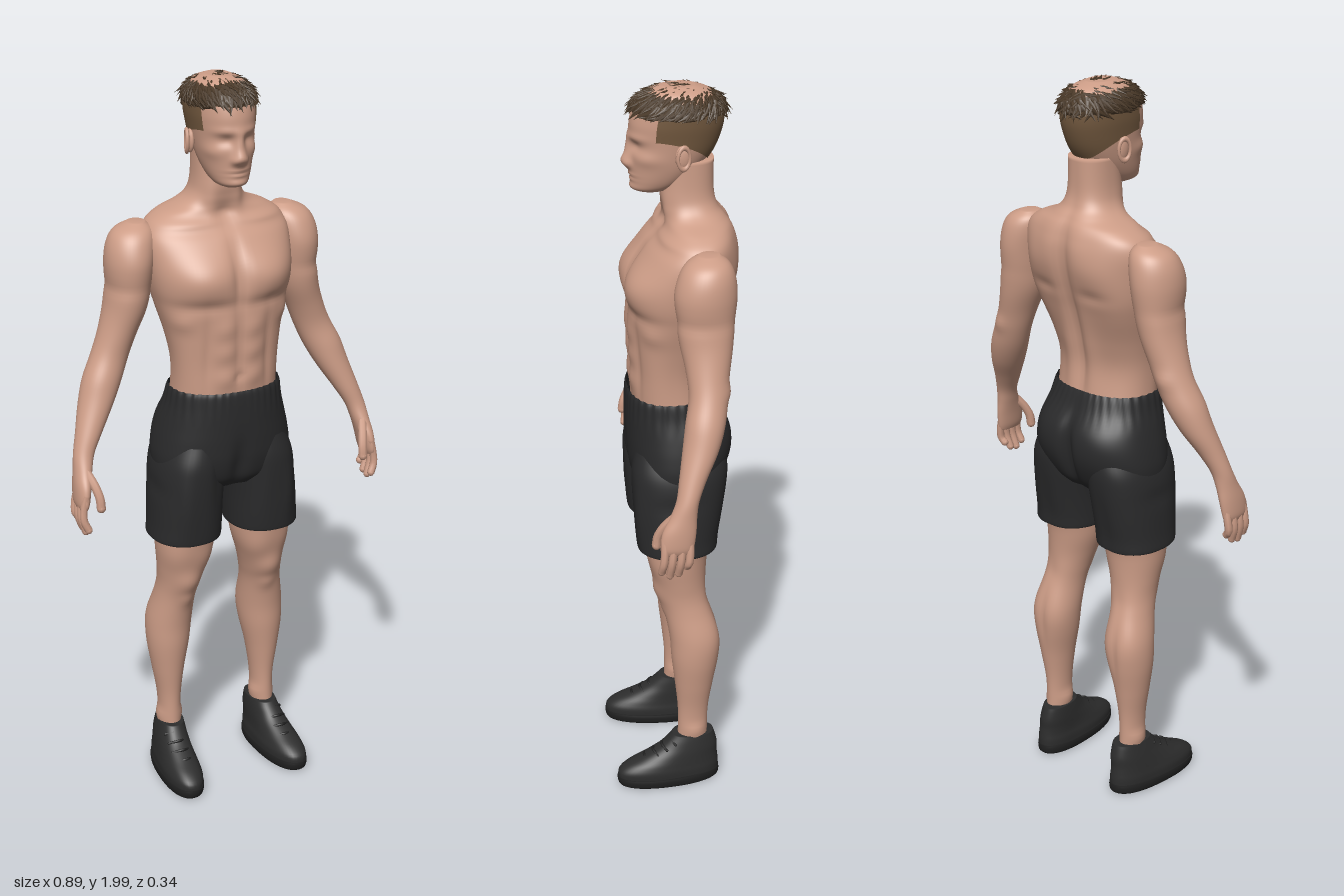
import * as THREE from 'three';
import { mergeGeometries } from 'three/addons/utils/BufferGeometryUtils.js';

const paint = (name, color, side = THREE.FrontSide) => {
  const m = new THREE.MeshStandardMaterial({ color, side });
  m.name = name;
  return m;
};

// Surface from fn(u, v) -> [x, y, z]; wrap joins the first and last columns
function grid(nu, nv, fn, wrap = true) {
  const cols = wrap ? nu : nu + 1, pos = [], idx = [];
  for (let j = 0; j <= nv; j++) for (let i = 0; i < cols; i++) pos.push(...fn(i / nu, j / nv));
  for (let j = 0; j < nv; j++) for (let i = 0; i < nu; i++) {
    const a = j * cols + i, b = j * cols + (i + 1) % cols, c = a + cols, d = b + cols;
    idx.push(a, b, d, a, d, c);
  }
  const g = new THREE.BufferGeometry();
  g.setAttribute('position', new THREE.Float32BufferAttribute(pos, 3));
  g.setIndex(idx);
  g.computeVertexNormals();
  return g;
}

// Smooth interpolation of rows [y, centreX, centreZ, radiusX, radiusZ] at t in 0..1
function sample(rows, t) {
  const f = Math.min(Math.max(t, 0), 1) * (rows.length - 1);
  const i = Math.min(Math.floor(f), rows.length - 2), k = f - i;
  const at = n => rows[Math.min(Math.max(n, 0), rows.length - 1)];
  const [p, q, r, s] = [at(i - 1), at(i), at(i + 1), at(i + 2)];
  return q.map((b, n) => b + 0.5 * k * (r[n] - p[n] + k * (2 * p[n] - 5 * b + 4 * r[n] - s[n]
    + k * (3 * (b - r[n]) + s[n] - p[n]))));
}

// Point on a body of sections, with soft muscle bumps [x, y, z, sizeX, sizeY, sizeZ, height]
function point(rows, a, t, { n = 2, bumps = [], grow = 1 } = {}) {
  const [y, cx, cz, rx, rz] = sample(rows, t);
  const pw = v => Math.sign(v) * Math.abs(v) ** (2 / n);
  const dx = pw(Math.sin(a)) * rx * grow, dz = pw(Math.cos(a)) * rz * grow;
  const x = cx + dx, z = cz + dz;
  const nx = dx / (rx * rx), nz = dz / (rz * rz);
  const len = Math.hypot(nx, nz) || 1;
  let h = 0;
  for (const [bx, by, bz, sx, sy, sz, amp] of bumps)
    h += amp * Math.exp(-(((Math.abs(x) - bx) / sx) ** 2 + ((y - by) / sy) ** 2 + ((z - bz) / sz) ** 2) / 2);
  return [x + nx / len * h, y, z + nz / len * h];
}

// Skin over the sections, closed at both ends unless open
function loft(sections, { nu, nv, open = false, ...shape }) {
  const rows = [...sections].sort((p, q) => p[0] - q[0]);
  return grid(nu, nv, (u, v) => {
    if (!open && (v === 0 || v === 1)) {
      const [y, x, z] = sample(rows, v);
      return [x, y, z];
    }
    return point(rows, u * Math.PI * 2, open ? v : (v * nv - 1) / (nv - 2), shape);
  });
}

function mirror(geometry) {
  const g = geometry.clone(), { position: p, normal: n } = g.attributes, ix = g.index.array;
  for (let i = 0; i < p.count; i++) {
    p.setX(i, -p.getX(i));
    n.setX(i, -n.getX(i));
  }
  for (let i = 0; i < ix.length; i += 3) [ix[i], ix[i + 1]] = [ix[i + 1], ix[i]];
  return g;
}

const ball = (x, y, z, rx, ry, rz, n = 16) =>
  new THREE.SphereGeometry(1, n, n / 2).scale(rx, ry, rz).translate(x, y, z);

function tube(points, r) {
  const path = new THREE.CatmullRomCurve3(points.map(p => new THREE.Vector3(...p)));
  return mergeGeometries([new THREE.TubeGeometry(path, 10, r, 8),
    ball(...points[points.length - 1], r, r, r, 10)]);
}

export function createModel() {
  const model = new THREE.Group();
  const skin = paint('skin', 0xcd9d87), cloth = paint('shorts cloth', 0x2a2a2b, THREE.DoubleSide);
  const shoe = paint('shoe fabric', 0x2d2d2d), rubber = paint('sole rubber', 0x202020);
  const hair = paint('hair', 0x4a3928), shaved = paint('shaved hair', 0x73593f, THREE.DoubleSide);
  const add = (name, g, m) => {
    const mesh = new THREE.Mesh(g, m);
    mesh.name = name;
    model.add(mesh);
  };
  const pair = (name, g, m) => {
    add('left' + name, g, m);
    add('right' + name, mirror(g), m);
  };

  // Torso and neck
  add('torso', loft([
    [1.10, 0, -.005, .15, .105], [1.18, 0, .005, .143, .1], [1.25, 0, .008, .143, .098],
    [1.32, 0, .002, .156, .107], [1.40, 0, -.008, .176, .12], [1.46, 0, -.018, .19, .128],
    [1.52, 0, -.03, .198, .127], [1.575, 0, -.047, .2, .113], [1.61, 0, -.062, .185, .094],
    [1.635, 0, -.065, .15, .084], [1.655, 0, -.06, .1, .077], [1.68, 0, -.05, .072, .071],
    [1.72, 0, -.043, .061, .069], [1.80, 0, -.045, .058, .066]], {
    nu: 100, nv: 90, n: 2.3, bumps: [
      [.085, 1.485, .09, .055, .042, .06, .024], [.09, 1.415, .1, .06, .012, .06, -.006], // chest
      [0, 1.5, .1, .011, .06, .06, -.014], [0, 1.3, .1, .009, .09, .05, -.006],
      ...[1.215, 1.285, 1.35].map(y => [.038, y, .1, .02, .021, .04, .007]), // abdomen
      [.085, 1.28, .09, .008, .08, .04, -.005], [0, 1.215, .11, .008, .008, .03, -.006],
      [.13, 1.25, .04, .02, .05, .05, .004], [.14, 1.37, .06, .02, .015, .03, .005],
      [.1, 1.613, .01, .06, .009, .04, .009], [0, 1.635, .02, .018, .014, .03, -.007], // collarbones
      [.035, 1.67, .0, .012, .03, .03, .005],
      [.14, 1.43, -.11, .04, .07, .05, .012], [.1, 1.53, -.16, .045, .045, .05, .011], // back
      [.035, 1.25, -.09, .02, .08, .04, .008], [.045, 1.58, -.16, .025, .05, .04, .007],
      [0, 1.38, -.14, .014, .17, .07, -.016], [.085, 1.46, -.15, .03, .012, .04, -.005]]
  }), skin);

  // Head
  const skull = [
    [1.715, 0, .045, .02, .03], [1.725, 0, .045, .04, .05], [1.745, 0, .03, .053, .068],
    [1.78, 0, .012, .064, .088], [1.82, 0, -.002, .071, .103], [1.86, 0, -.01, .076, .112],
    [1.90, 0, -.015, .08, .116], [1.94, 0, -.02, .078, .108], [1.97, 0, -.022, .06, .08],
    [1.985, 0, -.022, .03, .04]];
  add('head', loft(skull, {
    nu: 100, nv: 80, n: 2.15, bumps: [
      [0, 1.795, .11, .011, .014, .04, .02], [0, 1.83, .1, .009, .022, .04, .011],
      [.014, 1.79, .1, .006, .007, .03, .005], [.032, 1.84, .09, .015, .011, .03, -.009],
      [.03, 1.862, .095, .028, .008, .03, .004], [.052, 1.81, .06, .016, .013, .03, .005],
      [0, 1.762, .1, .017, .004, .03, .004], [0, 1.751, .1, .014, .004, .03, .004],
      [0, 1.757, .1, .02, .002, .03, -.003], [0, 1.73, .1, .016, .009, .03, .005]]
  }), skin);
  pair('Ear', mergeGeometries([ball(.079, 1.822, -.022, .009, .031, .019),
    new THREE.TorusGeometry(.019, .005, 8, 20).scale(.85, 1.45, 1).rotateY(Math.PI / 2 + .3)
      .translate(.087, 1.822, -.024)]), skin);

  // Short hair around the sides and back
  add('shavedSides', grid(64, 14, (u, v) => {
    const a = 1.12 + u * (Math.PI * 2 - 2.24);
    const low = 5 - 1.6 * Math.sin(u * Math.PI) ** 2;
    return point(skull, a, (low + (7.1 - low) * v) / 9, { n: 2.15, grow: 1.045 });
  }, false), shaved);

  // Swept tufts on top of the head
  let seed = 7;
  const rnd = () => (seed = (seed * 16807) % 2147483647) / 2147483647;
  const core = new THREE.Vector3(0, 1.926, -.02), size = new THREE.Vector3(.084, .056, .117);
  const tufts = [ball(...core, ...size, 32)];
  for (let i = 0; i < 330; i++) {
    const h = 1 - i / 330 * 1.12, a = i * 2.39996, r = Math.sqrt(1 - h * h);
    const unit = new THREE.Vector3(r * Math.sin(a), h, r * Math.cos(a));
    const p = unit.clone().multiply(size).add(core);
    if (h < .1 && p.z > .06) continue;
    const normal = unit.clone().divide(size).normalize();
    const dir = new THREE.Vector3(p.x * 1.2 + (rnd() - .5) * .09, -.02, p.z + .085 + (rnd() - .5) * .06);
    dir.addScaledVector(normal, -dir.dot(normal)).normalize()
      .addScaledVector(normal, .06 + rnd() * .22).normalize();
    const side = new THREE.Vector3().crossVectors(dir, normal).normalize();
    const up = new THREE.Vector3().crossVectors(side, dir);
    const len = .03 + rnd() * .018;
    tufts.push(new THREE.ConeGeometry(.009, len, 6).scale(1, 1, .6).translate(0, len * .3, 0)
      .applyMatrix4(new THREE.Matrix4().makeBasis(side, dir, up).setPosition(p)));
  }
  add('topHair', mergeGeometries(tufts), hair);

  // Arms and hands
  pair('Arm', loft([
    [1.618, .21, -.07, .022, .025], [1.60, .22, -.066, .05, .053], [1.57, .228, -.062, .06, .07],
    [1.52, .235, -.058, .06, .078], [1.46, .24, -.058, .057, .07], [1.40, .25, -.058, .055, .06],
    [1.33, .275, -.058, .051, .053], [1.27, .298, -.057, .051, .049], [1.21, .325, -.047, .052, .049],
    [1.15, .352, -.03, .046, .045], [1.09, .38, -.008, .036, .035], [1.04, .402, .008, .028, .029],
    [1.0, .412, .02, .024, .034], [.96, .42, .032, .021, .043], [.92, .425, .038, .017, .043],
    [.902, .426, .038, .011, .037]], {
    nu: 44, nv: 80, bumps: [
      [.25, 1.41, .0, .035, .045, .03, .008], [.275, 1.4, -.12, .04, .05, .03, .008],
      [.27, 1.455, -.03, .04, .012, .06, -.004], [.29, 1.53, -.05, .03, .04, .05, .006],
      [.35, 1.23, -.02, .03, .04, .03, .006], [.3, 1.285, -.1, .015, .015, .02, .006]]
  }), skin);
  const digits = [[.006, .862], [.027, .843], [.049, .838], [.07, .85]].map(([z, tip]) =>
    tube([[.422, .945, z], [.431, .905, z], [.432, .875, z + .003], [.422, tip, z + .007]], .0105));
  digits.push(tube([[.41, 1.0, .04], [.397, .965, .068], [.39, .935, .082], [.389, .91, .086]], .0125));
  pair('Fingers', mergeGeometries(digits), skin);

  // Legs
  pair('Leg', loft([
    [.95, .105, 0, .08, .09], [.80, .11, -.005, .086, .092], [.72, .113, -.005, .08, .081],
    [.65, .12, -.012, .066, .07], [.60, .125, -.02, .058, .068], [.55, .132, -.032, .056, .065],
    [.47, .141, -.048, .061, .067], [.40, .145, -.05, .058, .064], [.32, .147, -.048, .045, .053],
    [.24, .146, -.046, .033, .043], [.17, .146, -.045, .03, .041], [.08, .146, -.045, .032, .043]], {
    nu: 44, nv: 70, bumps: [
      [.122, .615, .05, .022, .025, .03, .009], [.122, .555, .04, .015, .015, .03, .006],
      [.08, .68, .05, .025, .035, .03, .008], [.16, .7, .05, .025, .04, .03, .006],
      [.105, .46, -.09, .022, .05, .03, .008], [.175, .48, -.09, .022, .05, .03, .007],
      [.14, .45, -.12, .008, .06, .03, -.006], [.128, .59, -.09, .02, .03, .03, -.007],
      [.118, .17, -.04, .012, .014, .02, .007], [.174, .165, -.05, .012, .014, .02, .007]]
  }), skin);

  // Shorts: gathered waist, hips and two open legs
  const hips = loft([
    [1.178, 0, .006, .149, .108], [1.165, 0, .005, .153, .113], [1.13, 0, -.001, .16, .121],
    [1.08, 0, -.013, .175, .134], [1.03, 0, -.016, .187, .137], [.98, 0, -.014, .193, .132],
    [.93, 0, -.01, .185, .115], [.90, 0, -.008, .15, .09]], {
    nu: 150, nv: 36, n: 2.3, open: true, bumps: [
      [.085, 1.04, -.14, .055, .055, .05, .01], [0, 1.0, -.15, .014, .07, .06, -.022],
      [0, .96, .12, .016, .05, .05, -.014]]
  });
  const hp = hips.attributes.position;
  for (let i = 0; i < hp.count; i++) {
    const a = Math.atan2(hp.getX(i), hp.getZ(i));
    const gather = Math.min(Math.max((hp.getY(i) - 1.09) / .09, 0), 1);
    const s = 1 + .014 * gather * Math.sin(a * 38);
    hp.setXYZ(i, hp.getX(i) * s, hp.getY(i), hp.getZ(i) * s);
  }
  hips.computeVertexNormals();
  add('shortsHips', hips, cloth);
  pair('ShortsLeg', loft([
    [1.03, .092, -.014, .075, .118], [.98, .1, -.013, .089, .127], [.93, .104, -.011, .095, .126],
    [.85, .11, -.007, .096, .118], [.79, .113, -.004, .097, .111], [.757, .115, -.004, .098, .108],
    [.75, .115, -.004, .096, .106]], {
    nu: 50, nv: 32, n: 2.25, open: true, bumps: [
      [.06, .93, .1, .01, .05, .04, -.005], [.15, .86, .1, .012, .06, .04, .005],
      [.11, .83, -.11, .014, .06, .04, -.005], [.2, .9, 0, .03, .015, .04, -.004]]
  }), cloth);

  // Shoes with soles and laces, toes turned slightly out
  const splay = g => {
    const p = g.attributes.position;
    for (let i = 0; i < p.count; i++) p.setX(i, p.getX(i) + .07 * p.getZ(i));
    g.computeVertexNormals();
    return g;
  };
  pair('Shoe', splay(loft([
    [.02, .153, .025, .053, .143], [.045, .153, .024, .054, .143], [.065, .153, .013, .05, .13],
    [.085, .152, -.008, .046, .107], [.11, .15, -.031, .042, .084], [.135, .148, -.042, .038, .067],
    [.15, .147, -.046, .035, .058]], {
    nu: 48, nv: 28, n: 2.3, bumps: [[.153, .045, -.02, .06, .03, .03, -.005]]
  })), shoe);
  pair('Sole', splay(loft([
    [0, .153, .022, .05, .132], [.006, .153, .024, .055, .143], [.02, .153, .025, .057, .146],
    [.03, .153, .025, .055, .145]], { nu: 48, nv: 12, n: 2.3 })), rubber);
  const laces = [0, 1, 2, 3].map(i => {
    const y = .083 + i * .016, z = .094 - i * .025;
    return tube([[.13, y - .004, z - .012], [.156, y + .004, z], [.182, y - .004, z - .012]], .004);
  });
  pair('Laces', mergeGeometries(laces), rubber);

  return model;
}
